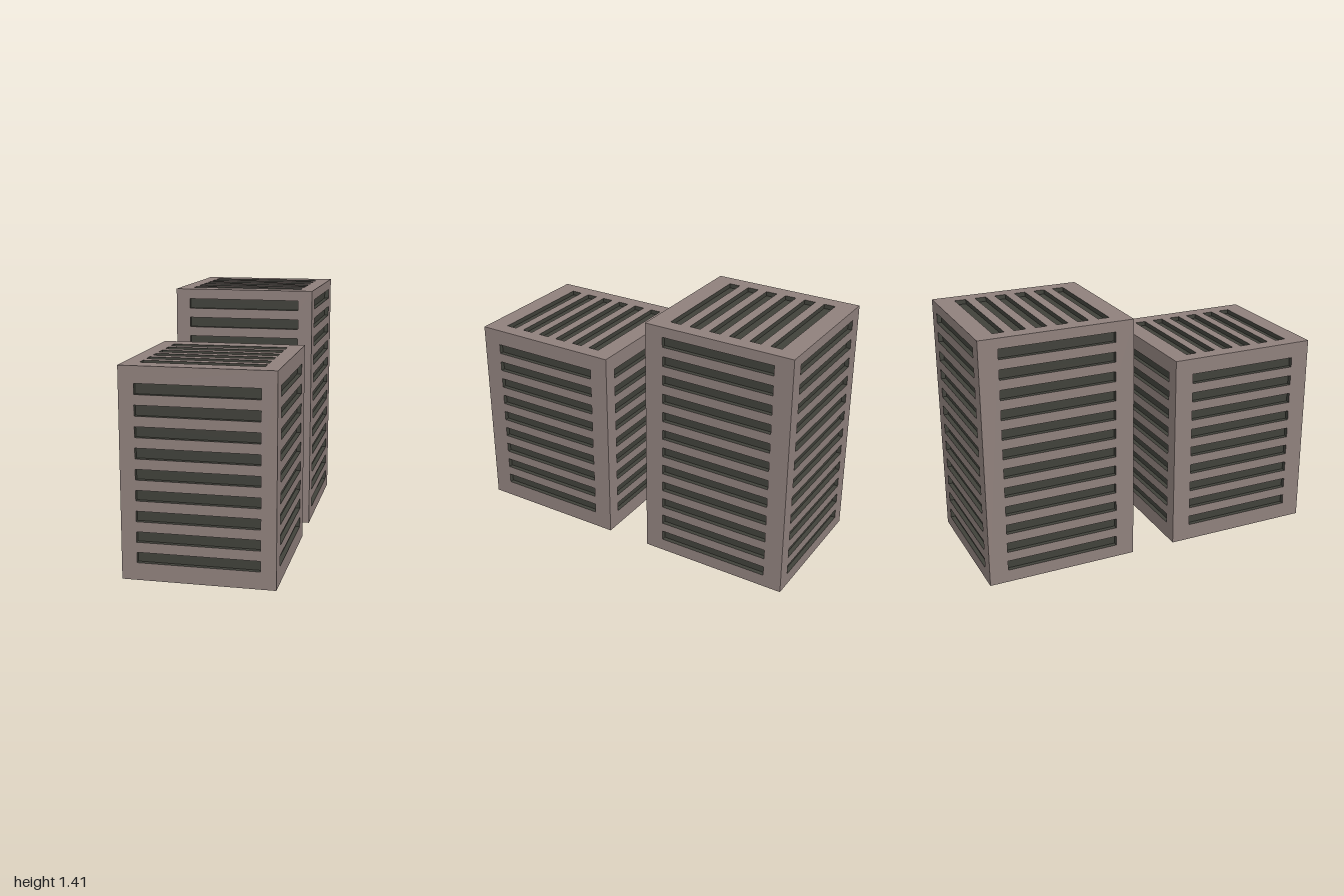
import * as THREE from 'three';
import { mergeGeometries } from 'three/addons/utils/BufferGeometryUtils.js';

const WIDTH = 0.82, DEPTH = 0.87, SLOT = 0.655, RECESS = 0.025;
const casing = new THREE.MeshStandardMaterial({ color: 0x8f807c });
const dark = new THREE.MeshStandardMaterial({ color: 0x40413a });

// Inward-facing tray, open on its +z side, for one slot
function recessGeometry(w, h) {
  const g = new THREE.BoxGeometry(w, h, RECESS);
  const index = Array.from(g.index.array);
  index.splice(24, 6);
  g.setIndex(index.reverse());
  g.clearGroups();
  const n = g.attributes.normal;
  for (let i = 0; i < n.array.length; i++) n.array[i] *= -1;
  return g;
}

// Flat panel facing +z with a column of horizontal slots
function louvrePanel(name, w, h, count, pitch, slotH, offset = 0) {
  const panel = new THREE.Group();
  panel.name = name;
  const rect = (Type, cx, cy, a, b) => new Type([
    new THREE.Vector2(cx - a / 2, cy - b / 2), new THREE.Vector2(cx + a / 2, cy - b / 2),
    new THREE.Vector2(cx + a / 2, cy + b / 2), new THREE.Vector2(cx - a / 2, cy + b / 2)]);
  const shape = rect(THREE.Shape, 0, 0, w, h);
  const trays = [];
  for (let i = 0; i < count; i++) {
    const y = offset + (i - (count - 1) / 2) * pitch;
    shape.holes.push(rect(THREE.Path, 0, y, SLOT, slotH));
    trays.push(recessGeometry(SLOT, slotH).translate(0, y, -RECESS / 2));
  }
  const face = new THREE.Mesh(new THREE.ShapeGeometry(shape), casing);
  face.name = 'face';
  const slots = new THREE.Mesh(mergeGeometries(trays), dark);
  slots.name = 'slots';
  panel.add(face, slots);
  return panel;
}

// Vented block standing on y = 0
function ventBlock(name, height, rows, offset) {
  const block = new THREE.Group();
  block.name = name;
  // Four upright walls
  ['front', 'left', 'back', 'right'].forEach((side, i) => {
    const wide = i % 2 === 0;
    const wall = louvrePanel(side + 'Wall', wide ? WIDTH : DEPTH, height, rows, 0.1116, 0.057, offset);
    const turn = i * Math.PI / 2, out = (wide ? DEPTH : WIDTH) / 2;
    wall.rotation.y = turn;
    wall.position.set(Math.sin(turn) * out, height / 2, Math.cos(turn) * out);
    block.add(wall);
  });
  // Top and bottom
  for (const s of [1, -1]) {
    const lid = louvrePanel(s > 0 ? 'top' : 'bottom', WIDTH, DEPTH, 6, 0.118, 0.064);
    lid.rotation.x = -s * Math.PI / 2;
    lid.position.y = s > 0 ? height : 0;
    block.add(lid);
  }
  return block;
}

export function createModel() {
  const model = new THREE.Group();
  model.name = 'ventBlocks';
  const low = ventBlock('lowBlock', 1.135, 9, 0.002);
  low.position.z = 0.565;
  const tall = ventBlock('tallBlock', 1.415, 12, 0.007);
  tall.position.z = -0.565;
  model.add(low, tall);
  return model;
}
